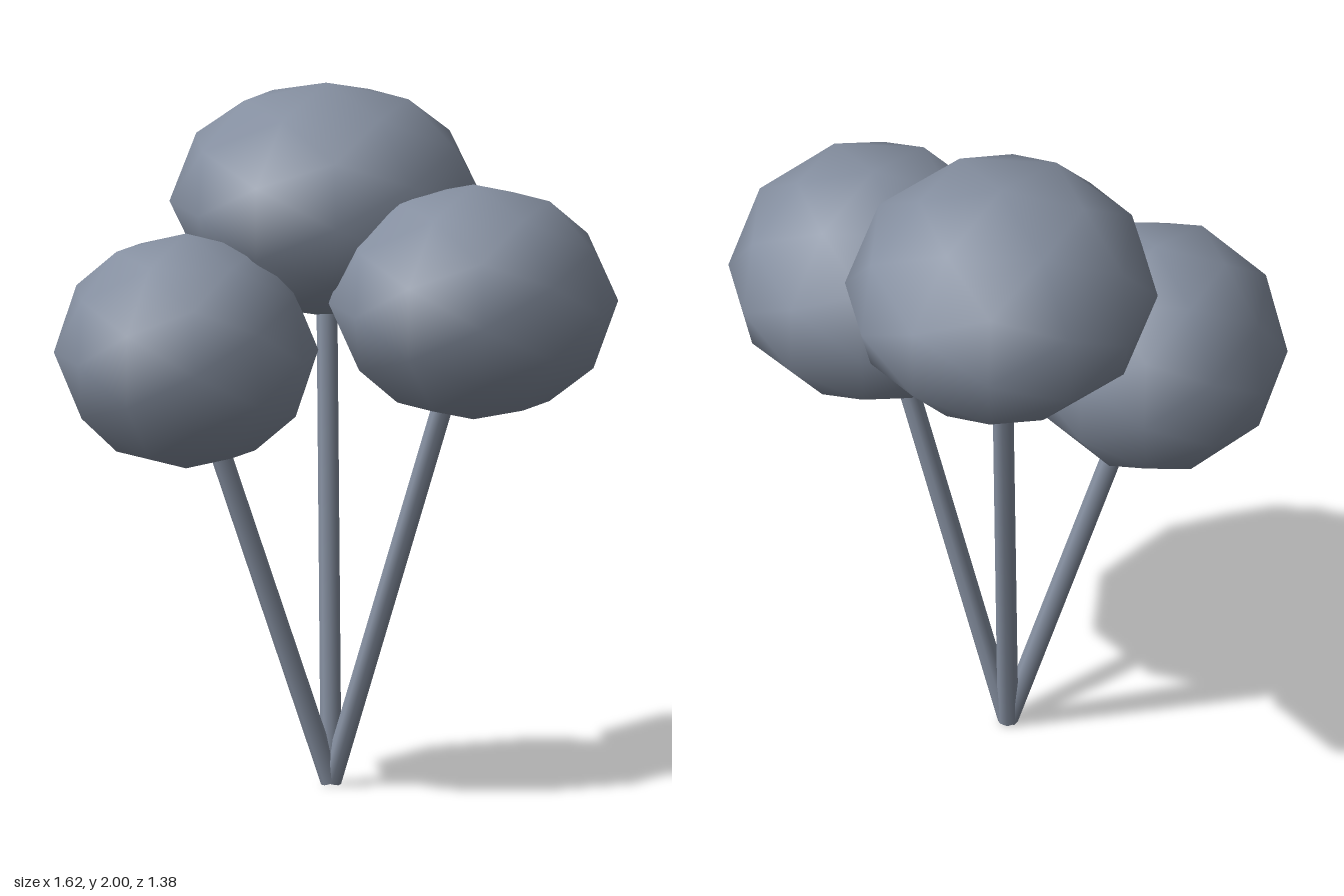
import * as THREE from 'three';

export function createModel() {
  const group = new THREE.Group();
  const material = new THREE.MeshStandardMaterial({ color: 0x858fa0 });
  const base = new THREE.Vector3(-0.01, 0.01, 0.068);
  const up = new THREE.Vector3(0, 1, 0);

  // Each puff: centre and radii of a coarse, smooth-shaded ellipsoid
  const puffs = [
    { name: 'back', centre: [-0.01, 1.66, -0.185], radii: [0.45, 0.34, 0.507] },
    { name: 'left', centre: [0.39, 1.43, 0.225], radii: [0.416, 0.342, 0.467] },
    { name: 'right', centre: [-0.43, 1.278, 0.127], radii: [0.38, 0.342, 0.43] },
  ];

  for (const { name, centre, radii } of puffs) {
    // Foliage
    const foliage = new THREE.Mesh(new THREE.IcosahedronGeometry(1, 1).scale(...radii), material);
    foliage.name = `${name}Foliage`;
    foliage.position.set(...centre);

    // Slightly oval stem leaning from the shared base into the foliage
    const direction = foliage.position.clone().sub(base);
    const length = direction.length();
    const stemGeometry = new THREE.CylinderGeometry(1, 1, length, 8)
      .scale(0.03, 1, 0.034)
      .translate(0, length / 2, 0);
    const stem = new THREE.Mesh(stemGeometry, material);
    stem.name = `${name}Stem`;
    stem.position.copy(base);
    stem.quaternion.setFromUnitVectors(up, direction.normalize());

    group.add(foliage, stem);
  }
  return group;
}
